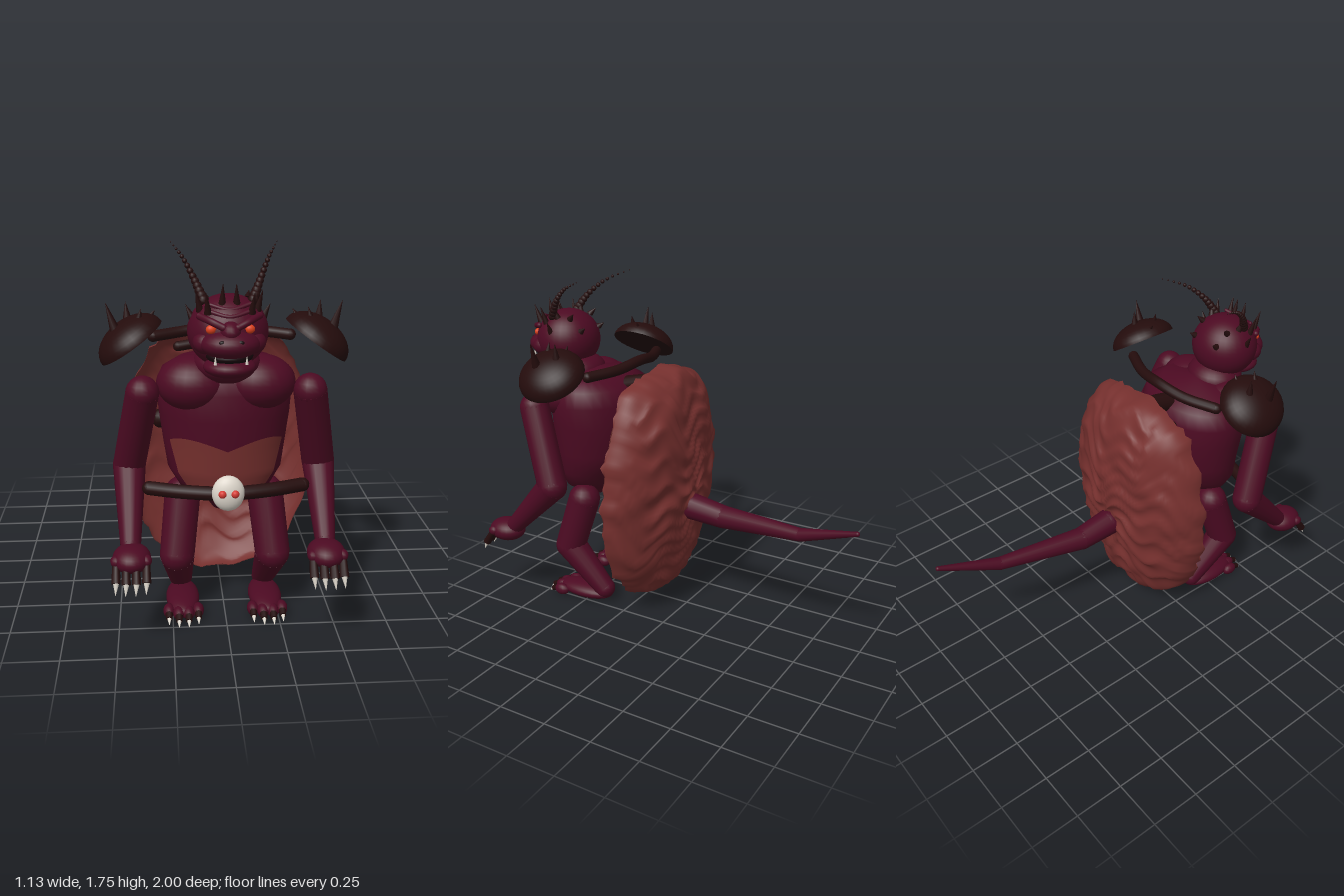
import * as THREE from 'three';
import { mergeVertices } from 'three/addons/utils/BufferGeometryUtils.js';

const V = (p) => new THREE.Vector3(p[0], p[1], p[2]);
const paint = (name, color) => {
  const m = new THREE.MeshStandardMaterial({ color });
  m.name = name;
  return m;
};

export function createModel() {
  const model = new THREE.Group();
  model.name = 'shelledBeast';
  const skin = paint('maroonSkin', 0x4c0a22);
  const shellMat = paint('redBrownShell', 0x76302e);
  const dark = paint('darkHorn', 0x240c0c);
  const bone = paint('bone', 0xddd6cb);
  const red = paint('redGem', 0xd63a32);
  const eyeMat = paint('emberEye', 0xd8401c);
  const mouthMat = paint('darkMouth', 0x16060a);

  const add = (name, geo, mat) => {
    const m = new THREE.Mesh(geo, mat);
    m.name = name;
    model.add(m);
    return m;
  };
  // Ellipsoid with position and radii
  const ball = (name, mat, p, r, w = 24) => {
    const m = add(name, new THREE.SphereGeometry(1, w, Math.ceil(w * 0.7)), mat);
    m.position.set(...p);
    m.scale.set(...r);
  };
  // Tapered rod between two points
  const rod = (name, mat, a, b, ra, rb, sides = 16) => {
    const d = V(b).sub(V(a));
    const m = add(name, new THREE.CylinderGeometry(rb, ra, d.length(), sides), mat);
    m.position.copy(V(a).add(V(b)).multiplyScalar(0.5));
    m.quaternion.setFromUnitVectors(new THREE.Vector3(0, 1, 0), d.normalize());
  };
  const spike = (name, mat, a, b, r) => rod(name, mat, a, b, r, 0.001, 8);
  // Chain of tapered rods with round joints; points are [x, y, z, radius]
  const limb = (name, mat, pts) => pts.forEach((p, i) => {
    ball(name + 'Joint', mat, p, [p[3], p[3], p[3]], 16);
    if (i) rod(name, mat, pts[i - 1], p, pts[i - 1][3], p[3]);
  });
  const tube = (name, mat, pts, r) => {
    const curve = new THREE.CatmullRomCurve3(pts.map(V));
    add(name, new THREE.TubeGeometry(curve, 24, r, 12), mat);
    [pts[0], pts[pts.length - 1]].forEach((p) => ball(name + 'End', mat, p, [r, r, r], 12));
  };

  // Torso: stacked oval sections [y, centre z, half width, half depth]
  const sections = [
    [0.54, 0.6, 0.01, 0.01], [0.555, 0.6, 0.06, 0.06], [0.61, 0.59, 0.1, 0.1], [0.645, 0.58, 0.2, 0.14],
    [0.74, 0.55, 0.262, 0.19], [0.85, 0.53, 0.28, 0.22], [1.0, 0.53, 0.3, 0.235], [1.12, 0.53, 0.31, 0.235],
    [1.2, 0.53, 0.285, 0.21], [1.25, 0.55, 0.21, 0.15], [1.28, 0.56, 0.01, 0.01]];
  const torso = new THREE.LatheGeometry(sections.map((s, i) => new THREE.Vector2(1, i)), 32);
  const tp = torso.attributes.position;
  for (let i = 0; i < tp.count; i++) {
    const [y, cz, rx, rz] = sections[Math.round(tp.getY(i))];
    tp.setXYZ(i, tp.getX(i) * rx, y, cz + tp.getZ(i) * rz);
  }
  torso.deleteAttribute('uv');
  torso.deleteAttribute('normal');
  const torsoGeo = mergeVertices(torso, 1e-4);
  torsoGeo.computeVertexNormals();
  add('torso', torsoGeo, skin);
  ball('neck', skin, [0, 1.25, 0.67], [0.15, 0.09, 0.14]);

  // Belly plate: thin curved sheet following the torso, with a two-lobed top edge
  const belly = new THREE.PlaneGeometry(2, 1, 32, 14);
  const bp = belly.attributes.position;
  for (let i = 0; i < bp.count; i++) {
    const v = bp.getY(i) + 0.5, t = bp.getX(i) * (0.88 + 0.17 * v);
    const y = 0.65 + v * (0.215 + 0.05 * Math.abs(Math.sin(t * 2.4)));
    const k = sections.findIndex((s) => s[0] > y);
    const [a, b] = [sections[k - 1], sections[k]];
    const at = (j) => THREE.MathUtils.mapLinear(y, a[0], b[0], a[j], b[j]);
    bp.setXYZ(i, Math.sin(t) * at(2) * 1.02, y, at(1) + Math.cos(t) * at(3) * 1.025);
  }
  belly.computeVertexNormals();
  add('bellyPlate', belly, shellMat);

  // Shell: hollow dish, blunt on top and narrower below, with rippled ridges
  let shell = new THREE.SphereGeometry(1, 110, 80).rotateX(Math.PI / 2);
  shell.deleteAttribute('uv');
  shell.deleteAttribute('normal');
  shell = mergeVertices(shell, 1e-4);
  const sp = shell.attributes.position;
  for (let i = 0; i < sp.count; i++) {
    const ux = sp.getX(i), uy = sp.getY(i), d = sp.getZ(i);
    const len = Math.hypot(ux, uy) + 1e-6;
    const up = uy / len, side = (ux / len) ** 2;
    const e = up > 0 ? 2 + 0.9 * up : 2;
    const square = Math.pow(Math.abs(ux / len) ** e + Math.abs(up) ** e, -1 / e);
    const x = ux * 0.468 * square, y = uy * 0.63 * square;
    const z = d < 0 ? -0.27 * Math.pow(-d, 0.68 + 0.3 * side) : -0.19 * d;
    const a = Math.sin(y * 30 + 2.2 * Math.sin(x * 9 + y * 4) + 1.5 * Math.sin(x * 23));
    const b = Math.sin(x * 17 + 2.4 * Math.sin(y * 13));
    const n = 0.022 * (0.5 - Math.abs(a)) + 0.01 * b;
    const k = 1 + n * 1.3;
    sp.setXYZ(i, x * k, y * k + 0.685, z + 0.22 - 0.03 * uy + (d < 0 ? n * d * 0.8 : n * 0.6));
  }
  shell.computeVertexNormals();
  add('shell', shell, shellMat);

  // Struts and bars joining back and shell
  [0.8, 0.95, 1.1, 1.23].forEach((y) => rod('shellStrut', dark, [0, y - 0.03, 0.35], [0, y + 0.04, 0.1], 0.05, 0.035));
  tube('shellBar', dark, [[-0.2, 1.22, 0.2], [0, 1.24, 0.17], [0.2, 1.22, 0.2]], 0.025);
  tube('backBar', dark, [[-0.29, 0.85, 0.18], [0, 0.84, 0.12], [0.29, 0.85, 0.18]], 0.048);
  tube('shoulderYoke', dark, [[-0.32, 1.31, 0.38], [-0.16, 1.32, 0.31], [0, 1.34, 0.28], [0.16, 1.32, 0.31], [0.32, 1.31, 0.38]], 0.027);

  limb('tail', skin, [[0, 0.615, 0.23, 0.06], [0, 0.59, -0.04, 0.07], [0, 0.57, -0.22, 0.06],
    [0.07, 0.605, -0.68, 0.034], [0.13, 0.705, -0.99, 0.012]]);

  // Belt with skull buckle
  tube('belt', dark, [[-0.35, 0.67, 0.665], [-0.2, 0.67, 0.72], [0, 0.67, 0.755], [0.2, 0.67, 0.72], [0.35, 0.67, 0.665]], 0.032);
  ball('skullBuckle', bone, [0, 0.685, 0.788], [0.073, 0.082, 0.045]);

  // Head
  ball('cranium', skin, [0, 1.405, 0.73], [0.174, 0.16, 0.165], 32);
  ball('muzzle', skin, [0, 1.375, 0.845], [0.128, 0.065, 0.112]);
  ball('mouth', mouthMat, [0, 1.32, 0.83], [0.1, 0.035, 0.09]);
  ball('jaw', skin, [0, 1.273, 0.83], [0.112, 0.045, 0.108]);
  ball('noseBridge', skin, [0, 1.43, 0.87], [0.045, 0.045, 0.065], 16);
  [1.5, 1.525].forEach((y, i) => tube('browWrinkle', skin, [[-0.09, y + 0.01, 0.838 - i * 0.025], [0, y - 0.01, 0.865 - i * 0.025], [0.09, y + 0.01, 0.838 - i * 0.025]], 0.009));

  [-1, 1].forEach((s) => {
    // Face details
    ball('eye', eyeMat, [s * 0.08, 1.44, 0.872], [0.022, 0.019, 0.016], 16);
    tube('brow', skin, [[s * 0.03, 1.452, 0.9], [s * 0.075, 1.472, 0.882], [s * 0.125, 1.487, 0.825]], 0.015);
    ball('cheek', skin, [s * 0.095, 1.375, 0.82], [0.06, 0.05, 0.065], 16);
    ball('nostril', mouthMat, [s * 0.038, 1.395, 0.938], [0.015, 0.011, 0.008], 12);
    spike('fang', bone, [s * 0.065, 1.3, 0.912], [s * 0.065, 1.335, 0.915], 0.007);
    // Head spikes
    [[0.03, 1.53, 0.81, 0.028, 1.62, 0.83], [0.09, 1.5, 0.84, 0.1, 1.59, 0.87], [0.12, 1.5, 0.78, 0.14, 1.59, 0.8],
      [0.1, 1.53, 0.72, 0.12, 1.6, 0.74], [0.15, 1.46, 0.73, 0.18, 1.52, 0.73], [0.09, 1.53, 0.65, 0.1, 1.56, 0.62],
      [0.08, 1.47, 0.59, 0.085, 1.49, 0.56]].forEach((c) =>
      spike('headSpike', dark, [s * c[0], c[1], c[2]], [s * c[3], c[4], c[5]], 0.017));
    // Beaded horn
    const horn = new THREE.CatmullRomCurve3([[0.105, 1.54, 0.75], [0.14, 1.62, 0.7], [0.185, 1.7, 0.61], [0.235, 1.755, 0.49]]
      .map((p) => V([s * p[0], p[1], p[2]])));
    for (let i = 0; i < 14; i++) {
      const t = i / 13, p = horn.getPoint(t), r = 0.021 * (1 - t) + 0.003;
      ball('hornBead', dark, p.toArray(), [r, r, r], 10);
    }

    // Chest, belly and buckle pairs
    ball('pectoral', skin, [s * 0.145, 1.155, 0.64], [0.165, 0.125, 0.145]);
    ball('bellyBump', shellMat, [s * 0.155, 0.795, 0.7], [0.014, 0.014, 0.012], 10);
    ball('buckleGem', red, [s * 0.028, 0.695, 0.828], [0.018, 0.018, 0.016], 14);

    // Shoulder pad: spiked dome with flat underside
    const pad = new THREE.Group();
    pad.name = 'shoulderPad';
    const dome = new THREE.Mesh(new THREE.SphereGeometry(1, 28, 10, 0, Math.PI * 2, 0, Math.PI / 2), dark);
    dome.name = 'padDome';
    const base = new THREE.Mesh(new THREE.CircleGeometry(1, 28).rotateX(Math.PI / 2), dark);
    base.name = 'padBase';
    pad.add(dome, base);
    pad.scale.set(0.165, 0.108, 0.175);
    pad.position.set(s * 0.415, 1.314, 0.525);
    pad.rotation.z = -s * 0.613;
    model.add(pad);
    [[0.525, 1.5, 0.56], [0.44, 1.49, 0.48], [0.37, 1.475, 0.57], [0.31, 1.455, 0.5]].forEach(([x, y, z]) =>
      spike('padSpike', dark, [s * (0.42 + (x - 0.42) * 0.6), x > 0.5 ? 1.37 : 1.39, z], [s * x, y, z], 0.025));

    // Arm and clawed hand
    limb('arm', skin, [[s * 0.37, 1.125, 0.685, 0.075], [s * 0.44, 0.74, 0.54, 0.076], [s * 0.435, 0.46, 0.81, 0.046]]);
    ball('hand', skin, [s * 0.43, 0.425, 0.87], [0.085, 0.06, 0.1]);
    for (let i = 0; i < 4; i++) {
      const x = s * (0.365 + i * 0.044), z = 0.94 + (i === 1 || i === 2 ? 0.012 : 0);
      ball('knuckle', skin, [x, 0.43, z - 0.03], [0.025, 0.026, 0.03], 12);
      rod('finger', dark, [x, 0.415, z - 0.02], [x, 0.35, z + 0.025], 0.017, 0.021, 10);
      spike('fingerClaw', bone, [x, 0.355, z + 0.022], [x + s * 0.003, 0.305, z + 0.045], 0.015);
    }

    // Leg and clawed foot
    limb('leg', skin, [[s * 0.195, 0.585, 0.525, 0.085], [s * 0.225, 0.31, 0.605, 0.082], [s * 0.205, 0.085, 0.4, 0.055]]);
    ball('foot', skin, [s * 0.2, 0.05, 0.53], [0.08, 0.043, 0.17]);
    for (let i = 0; i < 4; i++) {
      const x = s * (0.13 + i * 0.046), z = 0.65 + (i === 1 || i === 2 ? 0.025 : 0);
      ball('toe', skin, [x, 0.04, z], [0.028, 0.032, 0.045], 12);
      rod('toeSheath', dark, [x, 0.045, z + 0.02], [x, 0.03, z + 0.06], 0.019, 0.015, 10);
      spike('toeClaw', bone, [x, 0.03, z + 0.056], [x, 0.01, z + 0.083], 0.011);
    }
  });
  return model;
}
